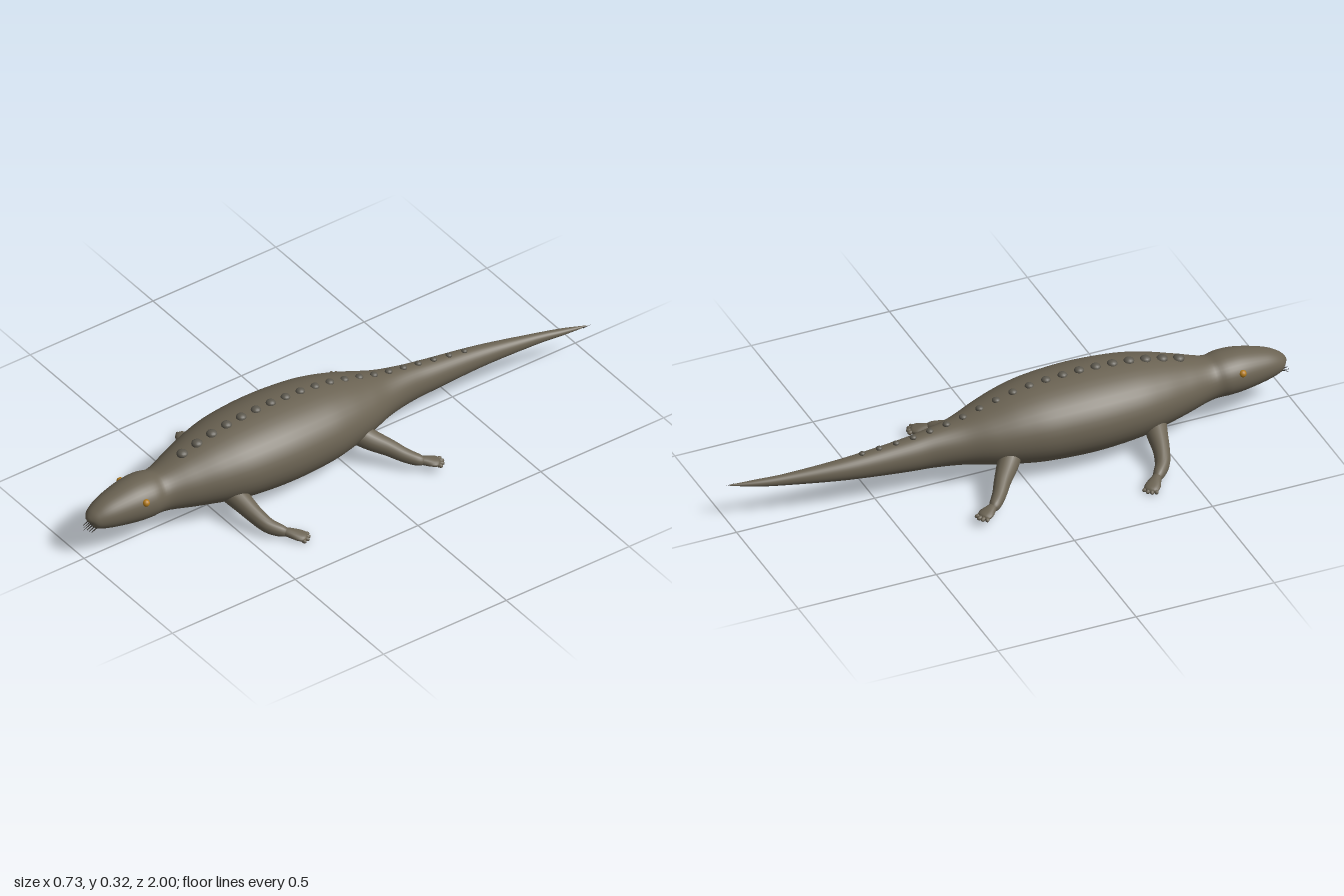
import * as THREE from 'three';

const mat = (name, color) => Object.assign(new THREE.MeshStandardMaterial({ color }), { name });

// Smooth skin swept through elliptical sections [x, y, z, halfWidth, halfHeight]
function loft(sections, steps, sides) {
  const path = new THREE.CatmullRomCurve3(sections.map(s => new THREE.Vector3(s[0], s[1], s[2])), false, 'catmullrom', 0.5);
  const size = new THREE.CatmullRomCurve3(sections.map(s => new THREE.Vector3(s[3], s[4], 0)), false, 'catmullrom', 0.5);
  const pos = [], index = [], up = new THREE.Vector3(0, 1, 0);
  for (let i = 0; i <= steps; i++) {
    const c = path.getPoint(i / steps), r = size.getPoint(i / steps), t = path.getTangent(i / steps);
    const side = up.clone().cross(t).normalize(), rise = t.clone().cross(side);
    for (let j = 0; j < sides; j++) {
      const a = j / sides * Math.PI * 2;
      const p = c.clone()
        .addScaledVector(side, Math.cos(a) * Math.max(r.x, 0.0005))
        .addScaledVector(rise, Math.sin(a) * Math.max(r.y, 0.0005));
      pos.push(p.x, p.y, p.z);
      if (i < steps) {
        const k = (j + 1) % sides, a0 = i * sides + j, b0 = i * sides + k;
        index.push(a0, b0, a0 + sides, b0, b0 + sides, a0 + sides);
      }
    }
  }
  const g = new THREE.BufferGeometry();
  g.setAttribute('position', new THREE.Float32BufferAttribute(pos, 3));
  g.setIndex(index);
  g.computeVertexNormals();
  return g;
}

// Tail to snout: z, centre x, half width, bottom, top
const profile = [
  [-0.985, 0.085, 0.002, 0.138, 0.142],
  [-0.9, 0.063, 0.013, 0.128, 0.151],
  [-0.8, 0.042, 0.019, 0.12, 0.16],
  [-0.6, 0.014, 0.035, 0.105, 0.182],
  [-0.4, 0.003, 0.05, 0.09, 0.205],
  [-0.3, 0.001, 0.06, 0.084, 0.22],
  [-0.2, 0, 0.085, 0.075, 0.238],
  [-0.1, 0, 0.124, 0.058, 0.267],
  [0, 0, 0.153, 0.042, 0.294],
  [0.1, 0, 0.171, 0.032, 0.309],
  [0.25, 0, 0.179, 0.028, 0.316],
  [0.4, 0, 0.168, 0.036, 0.308],
  [0.5, 0, 0.146, 0.05, 0.291],
  [0.6, 0, 0.113, 0.067, 0.265],
  [0.7, 0, 0.079, 0.088, 0.238],
  [0.76, 0, 0.084, 0.092, 0.244],
  [0.82, 0, 0.079, 0.095, 0.241],
  [0.9, 0, 0.062, 0.106, 0.222],
  [0.95, 0, 0.045, 0.117, 0.2],
  [0.974, 0, 0.028, 0.13, 0.18],
  [0.98, 0, 0.001, 0.15, 0.152],
];

// Height of the back at a given z
function backHeight(z) {
  const i = profile.findIndex(p => p[0] > z), a = profile[i - 1], b = profile[i];
  return THREE.MathUtils.lerp(a[4], b[4], (z - a[0]) / (b[0] - a[0]));
}

export function createModel() {
  const model = new THREE.Group();
  const skin = mat('olive brown skin', 0x6b6353);
  const scute = mat('grey brown scutes', 0x5c584e);
  const amber = mat('amber eyes', 0xb27a1c);
  const dark = mat('dark horn', 0x26221c);
  const add = (parent, name, geometry, material) => {
    const m = new THREE.Mesh(geometry, material);
    m.name = name;
    parent.add(m);
    return m;
  };

  // Head, trunk and tail in one skin
  add(model, 'body', loft(profile.map(([z, x, w, b, t]) => [x, (b + t) / 2, z, w, (t - b) / 2]), 120, 40), skin);

  // Row of bumps down the spine
  const scutes = new THREE.Group();
  scutes.name = 'backScutes';
  model.add(scutes);
  const bump = new THREE.SphereGeometry(1, 14, 10);
  for (let i = 0; i < 20; i++) {
    const z = 0.6 - i * 0.06, r = 0.02 - i * 0.0005;
    const x = z < -0.35 ? (-0.35 - z) * 0.06 : 0;
    const m = add(scutes, 'scute', bump, scute);
    m.position.set(x, backHeight(z) + 0.001, z);
    m.scale.set(r, r * 0.7, r);
  }

  // Legs: sections from the body to the foot, on the left side
  const legs = {
    frontLeg: {
      limb: [[0.08, 0.115, 0.475, 0.04, 0.042], [0.14, 0.092, 0.46, 0.036, 0.036], [0.2, 0.068, 0.448, 0.029, 0.03],
        [0.25, 0.046, 0.43, 0.025, 0.026], [0.285, 0.034, 0.402, 0.02, 0.021], [0.3, 0.029, 0.385, 0.012, 0.012]],
      ankle: [0.286, 0.034, 0.4], toe: [0.35, 0.018, 0.34],
    },
    hindLeg: {
      limb: [[0.07, 0.13, -0.03, 0.04, 0.042], [0.125, 0.1, -0.075, 0.036, 0.036], [0.175, 0.08, -0.115, 0.029, 0.03],
        [0.22, 0.062, -0.147, 0.024, 0.025], [0.255, 0.05, -0.178, 0.02, 0.02], [0.266, 0.046, -0.195, 0.012, 0.012]],
      ankle: [0.255, 0.049, -0.178], toe: [0.292, 0.037, -0.242],
    },
  };
  for (const [name, { limb, ankle, toe }] of Object.entries(legs)) {
    for (const s of [1, -1]) {
      const leg = new THREE.Group();
      leg.name = (s > 0 ? 'left ' : 'right ') + name;
      model.add(leg);
      add(leg, 'limb', loft(limb.map(([x, ...rest]) => [x * s, ...rest]), 30, 18), skin);

      // Flat paddle foot
      const from = new THREE.Vector3(...ankle), to = new THREE.Vector3(...toe);
      const foot = [[0, 0.013, 0.013], [0.3, 0.019, 0.015], [0.65, 0.027, 0.013], [0.9, 0.022, 0.01], [1, 0.002, 0.002]]
        .map(([k, w, h]) => { const p = from.clone().lerp(to, k); return [p.x * s, p.y, p.z, w, h]; });
      add(leg, 'foot', loft(foot, 16, 16), skin);

      // Four short toes fanned round the front of the foot
      const heading = Math.atan2(to.x - from.x, to.z - from.z);
      const palm = from.clone().lerp(to, 0.62);
      for (let i = 0; i < 4; i++) {
        const a = heading + (i - 1.5) * 0.45;
        const m = add(leg, 'toe', new THREE.SphereGeometry(1, 10, 8), skin);
        m.position.set((palm.x + Math.sin(a) * 0.028) * s, to.y - 0.001, palm.z + Math.cos(a) * 0.028);
        m.rotation.y = a * s;
        m.scale.set(0.008, 0.008, 0.014);
      }
    }
  }

  // Eyes
  for (const s of [1, -1]) {
    const eye = add(model, s > 0 ? 'leftEye' : 'rightEye', new THREE.SphereGeometry(0.013, 14, 10), amber);
    eye.position.set(0.073 * s, 0.196, 0.8);
  }

  // Thin teeth poking out below the snout
  for (let i = 0; i < 6; i++) {
    const x = (i - 2.5) * 0.0095;
    const tooth = add(model, 'tooth', new THREE.ConeGeometry(0.0028, 0.04, 6), dark);
    tooth.position.set(x, 0.13, 0.983 - Math.abs(x) * 0.3);
    tooth.rotation.x = Math.PI / 2 + 0.45;
  }

  // Fine tip of the tail
  const tip = add(model, 'tailTip', new THREE.ConeGeometry(0.002, 0.03, 6), dark);
  tip.position.set(0.087, 0.14, -0.985);
  tip.rotation.x = -Math.PI / 2;
  return model;
}
